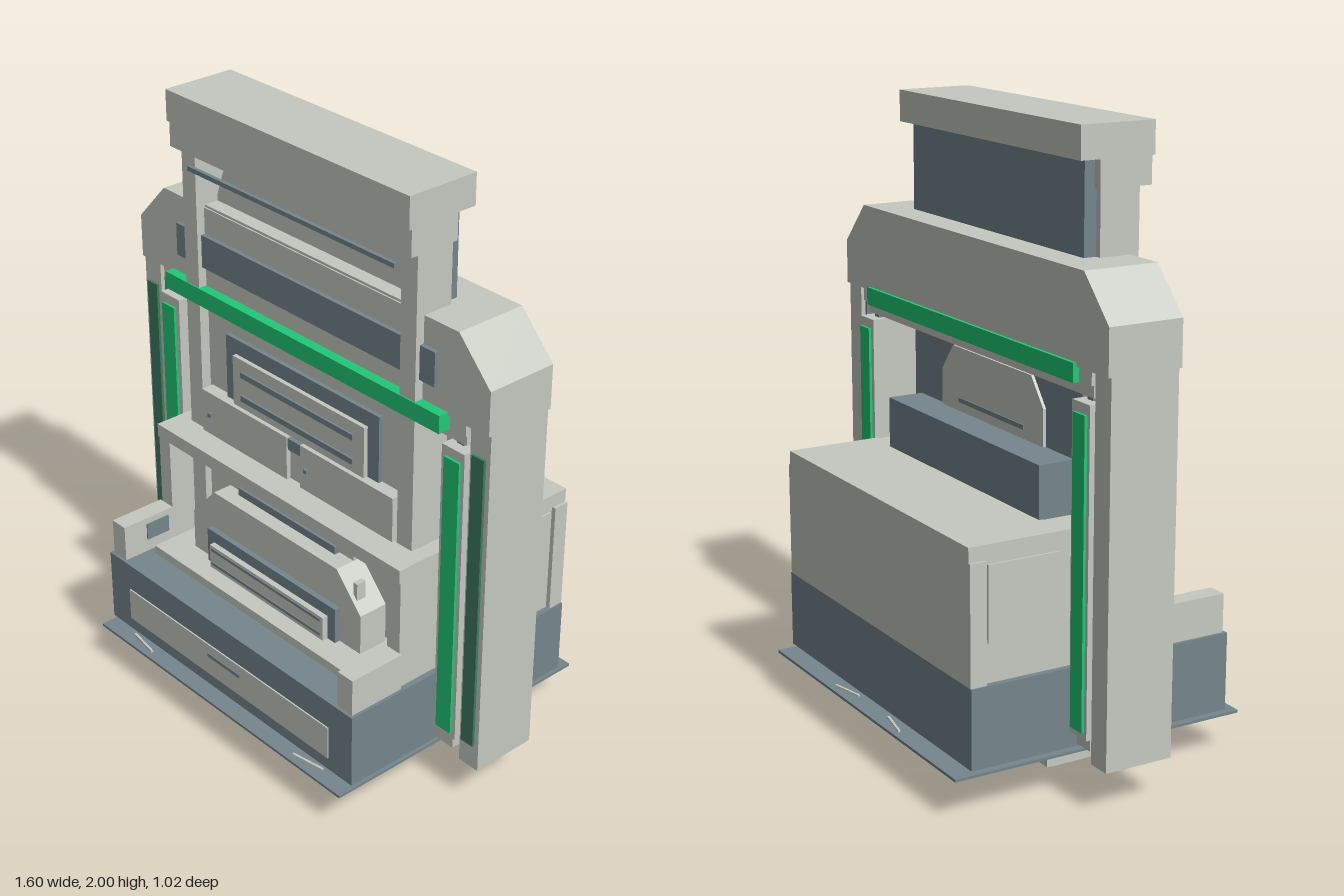
import * as THREE from 'three';

export function createModel() {
  const root = new THREE.Group();
  const mat = (name, color) => {
    const m = new THREE.MeshStandardMaterial({ color });
    m.name = name;
    return m;
  };
  const light = mat('light grey', 0xc5c9c0);
  const slate = mat('slate grey', 0x75868d);
  const green = mat('bright green', 0x20c977);
  const darkGreen = mat('dark green', 0x3c7d60);

  const add = (name, geometry, material) => {
    const mesh = new THREE.Mesh(geometry, material);
    mesh.name = name;
    root.add(mesh);
    return mesh;
  };
  // Box given by its limits on each axis
  const box = (name, m, x0, x1, y0, y1, z0, z1) => {
    add(name, new THREE.BoxGeometry(x1 - x0, y1 - y0, z1 - z0), m)
      .position.set((x0 + x1) / 2, (y0 + y1) / 2, (z0 + z1) / 2);
  };
  // Box centred on x = 0
  const mid = (name, m, w, y0, y1, z0, z1) => box(name, m, -w, w, y0, y1, z0, z1);
  // The same box on both sides
  const pair = (name, m, x0, x1, y0, y1, z0, z1) => {
    box(name, m, x0, x1, y0, y1, z0, z1);
    box(name, m, -x1, -x0, y0, y1, z0, z1);
  };
  // Symmetric outline (right half, bottom to top) extruded along z
  const slab = (name, m, half, z0, z1) => {
    const pts = [...half, ...half.map(([x, y]) => [-x, y]).reverse()];
    const shape = new THREE.Shape(pts.map(([x, y]) => new THREE.Vector2(x, y)));
    const g = new THREE.ExtrudeGeometry(shape, { depth: z1 - z0, bevelEnabled: false });
    add(name, g.translate(0, 0, z0), m);
  };

  // Base with drawer plate
  mid('base', slate, 0.605, 0.15, 0.405, -0.455, 0.46);
  mid('drawerPlate', light, 0.5, 0.195, 0.31, 0.46, 0.465);
  mid('drawerSlot', slate, 0.08, 0.265, 0.277, 0.465, 0.468);
  mid('basePlate', slate, 0.605, 0.128, 0.137, -0.51, 0.51);
  mid('baseSpacer', slate, 0.57, 0.137, 0.15, -0.43, 0.43);
  for (const [x, s] of [[0.42, 1], [-0.42, -1]]) {
    const fin = add('plateFin', new THREE.BoxGeometry(0.12, 0.006, 0.008), light);
    fin.position.set(x, 0.14, 0.475);
    fin.rotation.y = s * 0.16;
    const rear = add('plateFin', fin.geometry, light);
    rear.position.set(x * 0.38, 0.14, -0.475);
    rear.rotation.y = s * 0.2;
  }

  // Underside tray and ribbed foot
  mid('footRail', light, 0.46, 0.08, 0.128, 0.15, 0.23);
  mid('footRail', light, 0.46, 0.08, 0.128, -0.22, -0.15);
  mid('railGroove', slate, 0.4, 0.074, 0.08, -0.2, -0.17);
  mid('railGroove', slate, 0.4, 0.074, 0.08, 0.17, 0.2);
  mid('footBlock', light, 0.485, 0.04, 0.128, -0.12, 0.11);
  mid('footPad', slate, 0.425, 0.014, 0.04, -0.075, 0.075);
  for (let i = 0; i < 10; i++) {
    const x = -0.39 + i * 0.0867;
    box('footRib', light, x - 0.022, x + 0.022, 0, 0.014, -0.06, 0.06);
  }

  // Rear body
  mid('rearBody', light, 0.585, 0.405, 0.83, -0.4, 0.13);
  mid('rearPanel', light, 0.6, 0.405, 0.785, -0.455, -0.4);
  mid('rearLid', light, 0.59, 0.785, 0.832, -0.455, -0.13);
  pair('sidePanel', light, 0.585, 0.592, 0.53, 0.77, -0.39, -0.14);
  mid('rearConsole', slate, 0.47, 0.83, 1.0, -0.145, -0.02);

  // Front bay: walls, arms, ledge and floor
  pair('bayWall', light, 0.53, 0.585, 0.405, 0.785, 0.13, 0.25);
  mid('ledge', light, 0.585, 0.785, 0.832, 0.13, 0.255);
  pair('arm', light, 0.53, 0.595, 0.405, 0.532, 0.25, 0.45);
  pair('armInset', slate, 0.526, 0.53, 0.45, 0.51, 0.27, 0.36);
  mid('bayFloor', light, 0.5, 0.405, 0.435, 0.13, 0.35);
  mid('bayBack', slate, 0.37, 0.69, 0.785, 0.13, 0.145);
  mid('bayHeader', light, 0.3, 0.69, 0.76, 0.145, 0.18);
  mid('bayHeaderStrip', slate, 0.235, 0.69, 0.722, 0.18, 0.2);
  box('bayLever', light, 0.36, 0.378, 0.61, 0.67, 0.2, 0.235);

  // Chamfered console with slotted plate
  slab('console', light, [[0.41, 0.435], [0.41, 0.575], [0.3, 0.695]], 0.145, 0.25);
  mid('consoleFrame', slate, 0.315, 0.435, 0.56, 0.25, 0.27);
  mid('consolePlate', light, 0.28, 0.435, 0.52, 0.27, 0.29);
  for (const y of [0.455, 0.508]) mid('consoleSlot', slate, 0.27, y - 0.005, y + 0.005, 0.29, 0.294);

  // Mast: posts, back wall and panels
  pair('mastPost', light, 0.465, 0.53, 0.435, 1.82, 0.02, 0.155);
  mid('mastBack', slate, 0.51, 0.83, 1.9, -0.022, 0.02);
  mid('mastPanel', light, 0.465, 0.83, 1.62, 0.02, 0.12);
  slab('mastUpperPanel', light, [[0.465, 1.6], [0.465, 1.64], [0.41, 1.79]], 0.02, 0.07);
  mid('mastRod', slate, 0.465, 1.753, 1.768, 0.172, 0.185);
  slab('mastRearPlate', light, [[0.31, 1.0], [0.31, 1.12], [0.24, 1.21]], -0.032, -0.022);
  mid('rearPlateSlot', slate, 0.2, 1.03, 1.045, -0.036, -0.032);
  mid('ventFrame', slate, 0.36, 0.985, 1.212, 0.12, 0.135);
  mid('ventPlate', light, 0.31, 0.985, 1.16, 0.135, 0.15);
  for (const y of [1.025, 1.11]) mid('ventSlot', slate, 0.265, y - 0.01, y + 0.01, 0.15, 0.158);

  // Twin boxes above the ledge
  pair('twinBox', light, 0.032, 0.455, 0.832, 0.985, 0.12, 0.165);
  mid('twinBoxGap', slate, 0.032, 0.94, 0.98, 0.12, 0.16);
  mid('twinBoxGapPlate', light, 0.032, 0.832, 0.94, 0.12, 0.15);
  for (const x of [-0.41, 0.065]) box('twinBoxKnob', slate, x - 0.007, x + 0.007, 0.9, 0.914, 0.165, 0.175);

  // Mast head
  mid('headLower', light, 0.54, 1.812, 1.9, 0.012, 0.19);
  mid('headCap', light, 0.54, 1.898, 2.0, -0.055, 0.2);

  // Gate arch
  slab('gateArch', light, [[0.8, 1.33], [0.8, 1.475], [0.67, 1.612]], -0.125, 0.125);
  mid('archLower', light, 0.7, 1.285, 1.335, -0.115, 0.115);
  mid('archLip', light, 0.69, 1.245, 1.285, -0.1, 0.1);
  mid('archLipGroove', slate, 0.6, 1.24, 1.245, -0.05, 0.05);
  mid('archBand', slate, 0.592, 1.41, 1.522, 0.125, 0.14);
  mid('archLampFront', green, 0.635, 1.283, 1.342, 0.115, 0.159);
  mid('archLampRear', green, 0.635, 1.283, 1.342, -0.136, -0.115);

  // Gate columns with lamp strips
  pair('column', light, 0.72, 0.8, 0.14, 1.335, -0.115, 0.115);
  pair('columnSeam', slate, 0.708, 0.72, 0.16, 1.3, -0.1, 0.1);
  pair('innerColumn', light, 0.615, 0.708, 0.21, 1.232, -0.125, 0.125);
  pair('innerColumnFoot', light, 0.62, 0.69, 0.165, 0.205, -0.1, 0.115);
  pair('innerColumnPin', slate, 0.64, 0.67, 0.2, 1.25, -0.09, 0.09);
  pair('innerLampFront', green, 0.632, 0.695, 0.232, 1.2, 0.125, 0.134);
  pair('innerLampRear', green, 0.632, 0.695, 0.232, 1.2, -0.134, -0.125);
  pair('outerLamp', darkGreen, 0.733, 0.783, 0.228, 1.245, 0.115, 0.124);

  return root;
}
